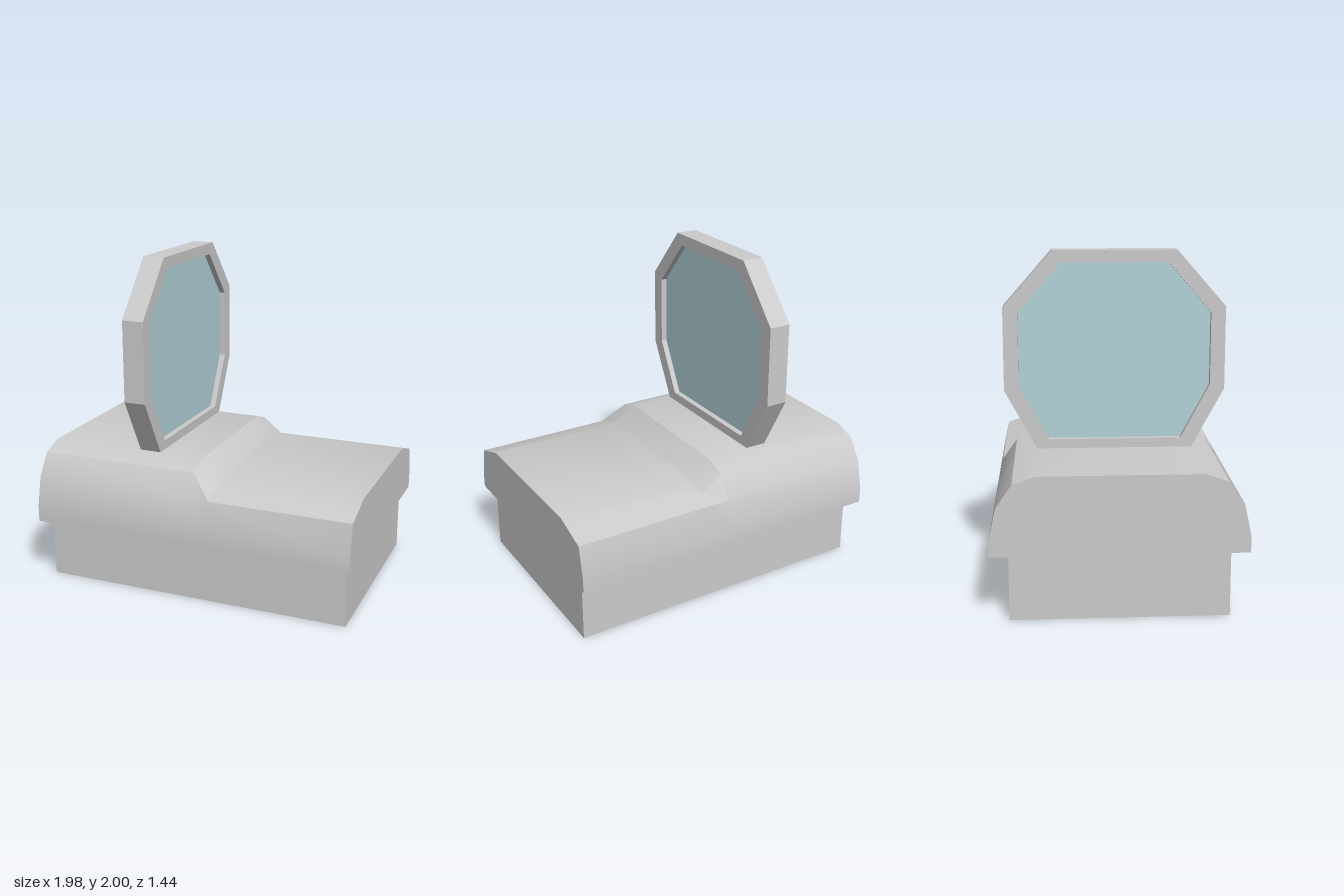
import * as THREE from 'three';
import { toCreasedNormals } from 'three/addons/utils/BufferGeometryUtils.js';

const grey = new THREE.MeshStandardMaterial({ color: 0xcccccc });
const glassBlue = new THREE.MeshStandardMaterial({ color: 0xb3d4da });

// Half outlines, mirrored to close the loop
const mirrored = half => [...half, ...half.map(([a, b]) => [-a, b]).reverse()];
const highProfile = mirrored([[0.72, 0.385], [0.72, 0.48], [0.68, 0.665], [0.59, 0.795], [0.46, 0.84]]);
const lowProfile = mirrored([[0.72, 0.385], [0.72, 0.48], [0.682, 0.665], [0.58, 0.698], [0.47, 0.735]]);
const frameOuter = mirrored([[0.455, 0.84], [0.645, 1.19], [0.645, 1.675], [0.36, 2]]);
const frameInner = mirrored([[0.39, 0.895], [0.56, 1.215], [0.56, 1.64], [0.31, 1.93]]);

// Skin (z, y) profiles placed along x, with closed ends
function loft(sections) {
  const positions = [];
  const index = [];
  const n = sections[0].profile.length;
  for (const { x, profile } of sections) {
    for (const [z, y] of profile) positions.push(x, y, z);
  }
  for (let s = 0; s < sections.length - 1; s++) {
    for (let i = 0; i < n; i++) {
      const a = s * n + i, b = s * n + (i + 1) % n;
      index.push(a, a + n, b, b, a + n, b + n);
    }
  }
  const last = (sections.length - 1) * n;
  for (let i = 1; i < n - 1; i++) {
    index.push(0, i, i + 1);
    index.push(last, last + i + 1, last + i);
  }
  const geometry = new THREE.BufferGeometry();
  geometry.setAttribute('position', new THREE.Float32BufferAttribute(positions, 3));
  geometry.setIndex(index);
  return toCreasedNormals(geometry, Math.PI / 6);
}

// Upright slab: a (z, y) outline given thickness along x
function slab(outline, hole, depth) {
  const toPoints = list => list.map(([a, b]) => new THREE.Vector2(a, b));
  const shape = new THREE.Shape(toPoints(outline));
  if (hole) shape.holes.push(new THREE.Path(toPoints(hole)));
  const geometry = new THREE.ExtrudeGeometry(shape, { depth, bevelEnabled: false });
  return geometry.translate(0, 0, -depth / 2).rotateY(Math.PI / 2);
}

export function createModel() {
  const model = new THREE.Group();
  const add = (name, geometry, material, x = 0, y = 0) => {
    const mesh = new THREE.Mesh(geometry, material);
    mesh.name = name;
    mesh.position.set(x, y, 0);
    model.add(mesh);
  };

  // Plinth under the overhanging cover
  add('base', new THREE.BoxGeometry(1.9, 0.385, 1.235), grey, 0, 0.1925);

  // Rounded cover that ramps down to a lower half
  add('cover', loft([
    { x: -0.99, profile: highProfile },
    { x: 0, profile: highProfile },
    { x: 0.13, profile: lowProfile },
    { x: 0.99, profile: lowProfile },
  ]), grey);

  // Eight-sided screen with its pane recessed on both sides
  add('screenFrame', slab(frameOuter, frameInner, 0.132), grey, -0.345);
  add('screenGlass', slab(frameInner, null, 0.06), glassBlue, -0.345);

  return model;
}
